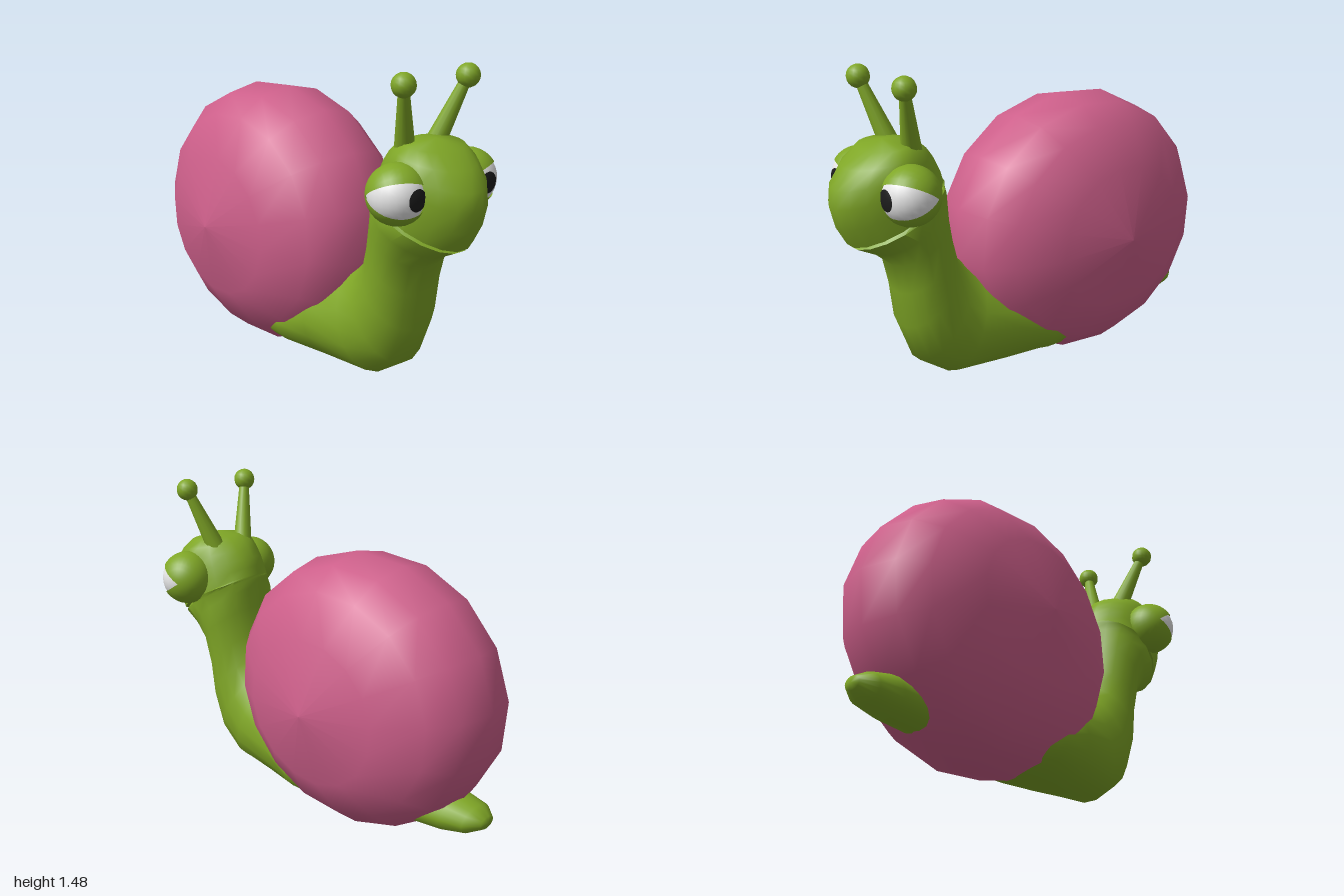
import * as THREE from 'three';
import { toCreasedNormals } from 'three/addons/utils/BufferGeometryUtils.js';

const skin = new THREE.MeshStandardMaterial({ name: 'green skin', color: 0x7fa626, side: THREE.DoubleSide });
const shellPink = new THREE.MeshStandardMaterial({ name: 'pink shell', color: 0xcd5f8a });
const eyeWhite = new THREE.MeshStandardMaterial({ name: 'eye white', color: 0xe8e8e8 });
const black = new THREE.MeshStandardMaterial({ name: 'pupil black', color: 0x1c1c1c });

function add(parent, name, geometry, material) {
  const mesh = new THREE.Mesh(geometry, material);
  mesh.name = name;
  parent.add(mesh);
  return mesh;
}

// Loft of egg-shaped rings: [front z, front y, back z, back y, half width, front narrowing]
function loft(sections, sides) {
  const pos = [], index = [];
  sections.forEach(([fz, fy, bz, by, w, narrow = 0]) => {
    for (let j = 0; j < sides; j++) {
      const a = (j / sides) * Math.PI * 2, s = Math.sin(a);
      pos.push(
        w * Math.cos(a) * (1 - narrow * Math.max(0, s)),
        (fy + by) / 2 + ((fy - by) / 2) * s,
        (fz + bz) / 2 + ((fz - bz) / 2) * s
      );
    }
  });
  for (let i = 0; i < sections.length - 1; i++) {
    for (let j = 0; j < sides; j++) {
      const a = i * sides + j, c = i * sides + (j + 1) % sides;
      const b = a + sides, d = c + sides;
      index.push(a, b, c, c, b, d);
    }
  }
  const g = new THREE.BufferGeometry();
  g.setAttribute('position', new THREE.Float32BufferAttribute(pos, 3));
  g.setIndex(index);
  return toCreasedNormals(g, 1.0);
}

// Tail, foot and neck, then the mouth crease and head
function bodyGeometry() {
  return loft([
    [-1.0, 0.22, -1.0, 0.22, 0],
    [-0.99, 0.19, -0.995, 0.25, 0.045],
    [-0.92, 0.15, -0.94, 0.28, 0.1],
    [-0.8, 0.12, -0.84, 0.3, 0.12],
    [-0.6, 0.1, -0.6, 0.28, 0.13],
    [-0.3, 0.05, -0.3, 0.28, 0.18],
    [-0.17, 0.045, -0.17, 0.29, 0.235],
    [0.0, 0.045, 0.0, 0.36, 0.265],
    [0.2, 0.04, 0.15, 0.48, 0.24],
    [0.47, 0.05, 0.3, 0.52, 0.21],
    [0.62, 0.15, 0.36, 0.56, 0.195],
    [0.69, 0.33, 0.42, 0.62, 0.188],
    [0.71, 0.5, 0.45, 0.73, 0.188],
    [0.74, 0.64, 0.475, 0.86, 0.2],
    [0.81, 0.7, 0.48, 0.96, 0.215, 0.1],
    [0.91, 0.748, 0.485, 1.0, 0.218, 0.15],
    [0.83, 0.83, 0.488, 1.01, 0.215, 0.15],
    [0.925, 0.76, 0.49, 1.02, 0.218, 0.15],
    [0.975, 0.845, 0.5, 1.06, 0.215, 0.17],
    [1.0, 0.94, 0.52, 1.1, 0.21, 0.17],
    [0.99, 1.02, 0.55, 1.14, 0.2, 0.15],
    [0.93, 1.1, 0.59, 1.175, 0.182, 0.1],
    [0.85, 1.165, 0.64, 1.195, 0.145],
    [0.75, 1.203, 0.75, 1.203, 0],
  ], 18);
}

// Sixteen-sided egg turned about a sideways axis and tilted
function shellGeometry() {
  const half = [[0, 0.455], [0.52, 0.396], [0.805, 0.275], [0.945, 0.166], [1, 0]];
  const profile = half.map(([r, x]) => new THREE.Vector2(r, -x));
  half.slice(0, -1).reverse().forEach(([r, x]) => profile.push(new THREE.Vector2(r, x)));
  const g = new THREE.LatheGeometry(profile, 16);
  g.applyMatrix4(new THREE.Matrix4().makeBasis(
    new THREE.Vector3(0, 0.62, -0.189),
    new THREE.Vector3(-1, 0, 0),
    new THREE.Vector3(0, 0.168, 0.668)
  ));
  return g.translate(0, 0.645, -0.3);
}

// Eyeball, wedge-opened lids and a forward pupil
function eye(side) {
  const g = new THREE.Group();
  g.name = side > 0 ? 'leftEye' : 'rightEye';
  g.position.set(0.207 * side, 1.0, 0.745);
  add(g, 'eyeball', new THREE.SphereGeometry(0.125, 24, 16), eyeWhite);
  const gap = 0.6;
  const lids = new THREE.SphereGeometry(0.131, 24, 16, Math.PI / 2 + gap, Math.PI * 2 - gap * 2);
  lids.rotateZ(-Math.PI / 2).rotateY(0.5 * side);
  add(g, 'eyelids', lids, skin);
  const pupil = new THREE.SphereGeometry(0.1275, 20, 5, 0, Math.PI * 2, 0, 0.38);
  add(g, 'pupil', pupil.rotateX(Math.PI / 2), black);
  return g;
}

// Tapered stalk with a ball on its end
function feeler(side) {
  const g = new THREE.Group();
  g.name = side > 0 ? 'leftFeeler' : 'rightFeeler';
  const base = new THREE.Vector3(0.088 * side, 1.15, 0.66);
  const tip = new THREE.Vector3(0.185 * side, 1.44, 0.745);
  const dir = tip.clone().sub(base);
  const stalk = add(g, 'stalk', new THREE.CylinderGeometry(0.022, 0.046, dir.length(), 12), skin);
  stalk.position.copy(base).lerp(tip, 0.5);
  stalk.quaternion.setFromUnitVectors(new THREE.Vector3(0, 1, 0), dir.normalize());
  add(g, 'ball', new THREE.SphereGeometry(0.052, 14, 10), skin).position.copy(tip);
  return g;
}

export function createModel() {
  const model = new THREE.Group();
  model.name = 'snail';
  add(model, 'body', bodyGeometry(), skin);
  add(model, 'shell', shellGeometry(), shellPink);
  for (const side of [1, -1]) model.add(eye(side), feeler(side));
  return model;
}
